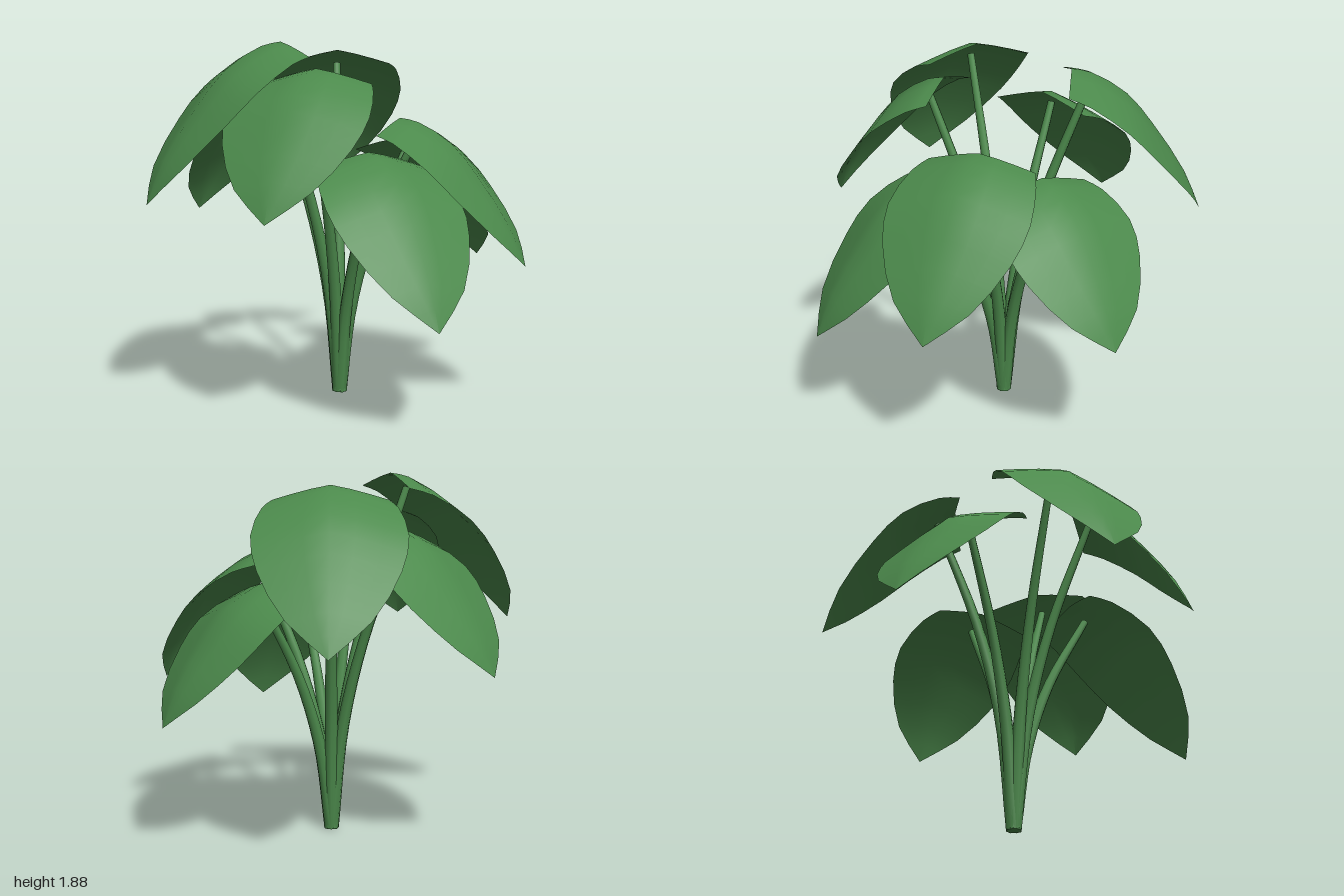
import * as THREE from 'three';

const green = new THREE.MeshStandardMaterial({ color: 0x4c8a4c, side: THREE.DoubleSide });
green.name = 'leaf green';

// Leaf midrib and outline: distance outward, drop, half width
const leafCurve = new THREE.CatmullRomCurve3([
  [0, 0, 0.285], [0.1, -0.02, 0.33], [0.28, -0.127, 0.373],
  [0.42, -0.29, 0.335], [0.59, -0.54, 0.195], [0.68, -0.745, 0],
].map((p) => new THREE.Vector3(...p)));

const INNER = 0.335; // distance of the leaf's inner edge from the stem axis

// Arched leaf blade bending outward and down to a point
function leafGeometry(length, height) {
  const rows = 10, cols = 6;
  const geo = new THREE.PlaneGeometry(1, 1, cols, rows);
  const pos = geo.attributes.position;
  for (let i = 0; i <= rows; i++) {
    const t = i / rows;
    const p = leafCurve.getPoint(t);
    for (let j = 0; j <= cols; j++) {
      const side = (j / cols) * 2 - 1;
      const w = side * Math.max(p.z, 0);
      pos.setXYZ(
        i * (cols + 1) + j,
        INNER + p.x * length - 0.03 * Math.abs(side) * (1 - t),
        height + p.y * length - 0.33 * Math.abs(w) ** 1.2,
        -w,
      );
    }
  }
  // Wind faces so that the upper side is the front
  const index = geo.index;
  for (let k = 0; k < index.count; k += 3) {
    const b = index.getX(k + 1);
    index.setX(k + 1, index.getX(k + 2));
    index.setX(k + 2, b);
  }
  geo.computeVertexNormals();
  if (geo.attributes.normal.getY(3) < 0) {
    for (let k = 0; k < index.count; k += 3) {
      const b = index.getX(k + 1);
      index.setX(k + 1, index.getX(k + 2));
      index.setX(k + 2, b);
    }
    geo.computeVertexNormals();
  }
  return geo;
}

// Tapered, outward-curving stem with closed ends
function makeStem(height) {
  const group = new THREE.Group();
  group.name = 'stem';
  const curve = new THREE.CatmullRomCurve3([
    [0, 0.004, 0], [0.07, 0.33 * height, 0], [0.2, 0.62 * height, 0], [0.43, height - 0.075, 0],
  ].map((p) => new THREE.Vector3(...p)));
  const segments = 14, sides = 8;
  const radius = (t) => 0.04 - 0.02 * t;
  const geo = new THREE.TubeGeometry(curve, segments, 1, sides);
  const pos = geo.attributes.position;
  const v = new THREE.Vector3();
  for (let i = 0; i <= segments; i++) {
    const t = i / segments;
    const c = curve.getPointAt(t);
    for (let j = 0; j <= sides; j++) {
      const k = i * (sides + 1) + j;
      v.fromBufferAttribute(pos, k).sub(c).multiplyScalar(radius(t)).add(c);
      pos.setXYZ(k, v.x, v.y, v.z);
    }
  }
  const tube = new THREE.Mesh(geo, green);
  tube.name = 'stemTube';
  group.add(tube);
  for (const t of [0, 1]) {
    const cap = new THREE.Mesh(new THREE.CircleGeometry(radius(t), sides), green);
    cap.name = 'stemEnd';
    const out = curve.getTangentAt(t).multiplyScalar(t ? 1 : -1);
    cap.position.copy(curve.getPointAt(t));
    cap.quaternion.setFromUnitVectors(new THREE.Vector3(0, 0, 1), out);
    group.add(cap);
  }
  return group;
}

export function createModel() {
  const model = new THREE.Group();
  model.name = 'plant';
  // Angle in degrees (from +x towards +z), leaf length factor, top height
  const fronds = [
    [4.5, 0.93, 1.35], [60, 0.99, 1.49], [103, 1.05, 1.33], [150, 0.94, 1.75],
    [193, 1.07, 1.88], [253.5, 0.95, 1.63], [307, 1.01, 1.83],
  ];
  for (const [angle, length, height] of fronds) {
    const frond = new THREE.Group();
    frond.name = 'frond';
    const leaf = new THREE.Mesh(leafGeometry(length, height), green);
    leaf.name = 'leaf';
    frond.add(leaf, makeStem(height));
    frond.position.set(0.04, 0, -0.04);
    frond.rotation.y = -THREE.MathUtils.degToRad(angle);
    model.add(frond);
  }
  return model;
}
